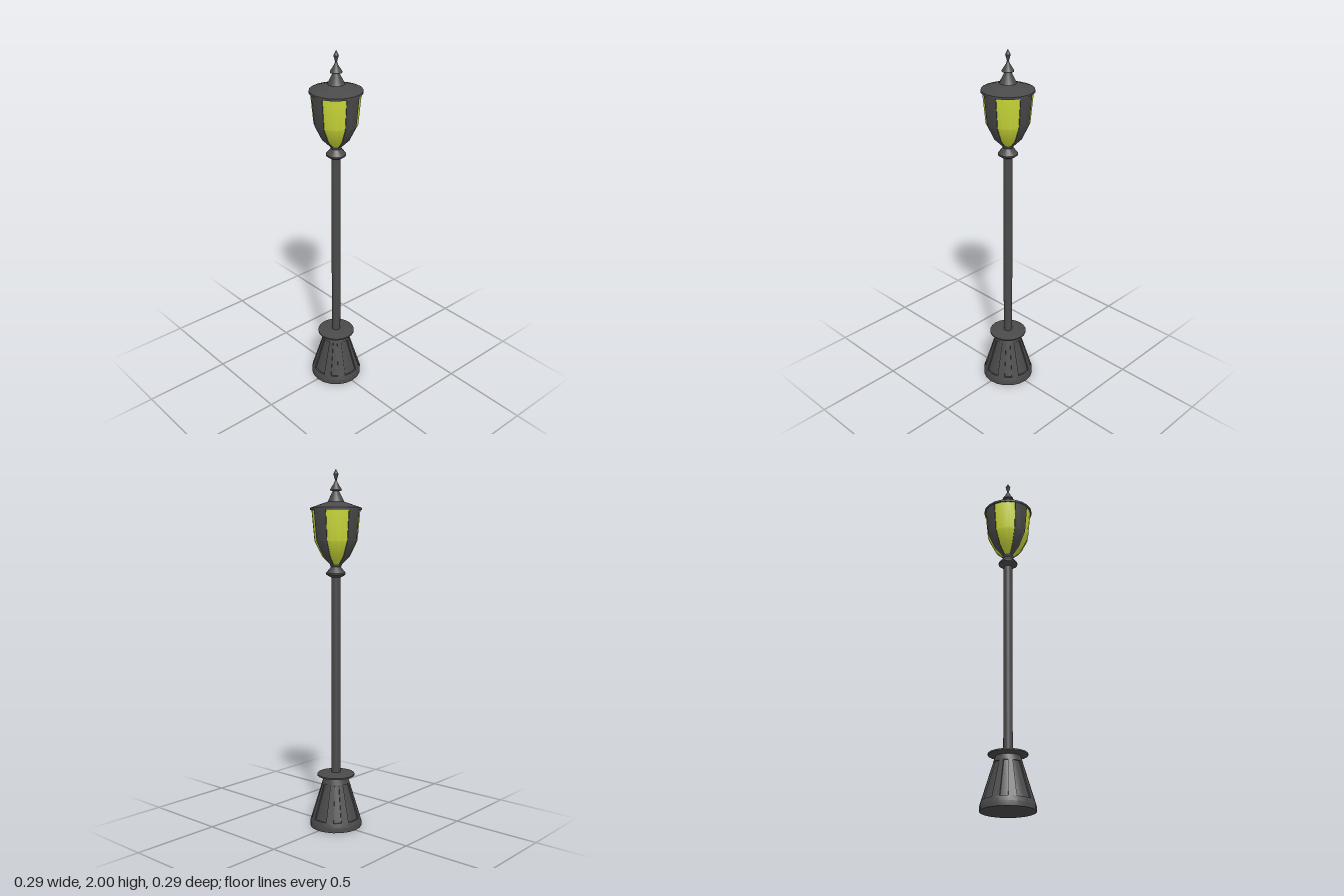
import * as THREE from 'three';
import { toCreasedNormals, mergeGeometries } from 'three/addons/utils/BufferGeometryUtils.js';

const SEGMENTS = 20;
const STEP = (Math.PI * 2) / SEGMENTS;

export function createModel() {
  const iron = new THREE.MeshStandardMaterial({ color: 0x4a4a4a, side: THREE.DoubleSide });
  iron.name = 'dark iron';
  const glass = new THREE.MeshStandardMaterial({ color: 0xcddc39, side: THREE.DoubleSide });
  glass.name = 'yellow glass';

  const model = new THREE.Group();
  model.name = 'streetLamp';

  const vectors = (profile) => profile.map(([r, y]) => new THREE.Vector2(r, y));

  function add(name, geometry, material, parent = model) {
    const mesh = new THREE.Mesh(geometry, material);
    mesh.name = name;
    parent.add(mesh);
    return mesh;
  }

  // Full turned part; profile is [radius, height] from bottom to top
  function turned(name, profile, material) {
    const lathe = new THREE.LatheGeometry(vectors(profile), SEGMENTS);
    return add(name, toCreasedNormals(lathe, 0.42), material);
  }

  // Solid strip of a turned shell, covering a number of facets
  function strip(name, outer, depth, first, count, material, parent) {
    const inner = outer.map(([r, y]) => [r - depth, y]).reverse();
    const loop = vectors([...outer, ...inner]);
    const start = first * STEP;
    const length = count * STEP;
    const pieces = [new THREE.LatheGeometry([...loop, loop[0].clone()], count, start, length)];
    for (const angle of [start, start + length]) {
      pieces.push(new THREE.ShapeGeometry(new THREE.Shape(loop)).rotateY(angle - Math.PI / 2));
    }
    const merged = mergeGeometries(pieces.map((g) => g.toNonIndexed()));
    return add(name, toCreasedNormals(merged, 0.42), material, parent);
  }

  // Pedestal: recessed core with solid bands at foot and head
  turned('pedestal', [
    [0, 0], [0.147, 0], [0.147, 0.026], [0.139, 0.052], [0.131, 0.052],
    [0.070, 0.252], [0.078, 0.252], [0.068, 0.285], [0.106, 0.294],
    [0.106, 0.302], [0.04, 0.312], [0, 0.312],
  ], iron);

  // Raised ribs between the pedestal slots
  const ribs = new THREE.Group();
  ribs.name = 'pedestalRibs';
  model.add(ribs);
  for (let quarter = 0; quarter < 4; quarter++) {
    for (const facet of [1, 3]) {
      strip('pedestalRib', [[0.139, 0.052], [0.078, 0.252]], 0.009, quarter * 5 + facet, 1, iron, ribs);
    }
  }

  // Pole and the collar carrying the lantern
  turned('pole', [[0.025, 0.3], [0.025, 1.425]], iron);
  turned('collar', [
    [0.025, 1.415], [0.040, 1.422], [0.054, 1.432], [0.054, 1.44],
    [0.028, 1.472], [0.034, 1.488], [0, 1.488],
  ], iron);

  // Lantern bowl of glass with four broad iron straps
  const bowl = [[0.032, 1.483], [0.08, 1.53], [0.122, 1.615], [0.138, 1.785]];
  turned('lanternGlass', bowl.map(([r, y]) => [r - 0.004, y]), glass);
  const straps = new THREE.Group();
  straps.name = 'lanternStraps';
  model.add(straps);
  for (let quarter = 0; quarter < 4; quarter++) {
    strip('lanternStrap', bowl, 0.008, quarter * 5 - 1, 2, iron, straps);
  }

  // Lid and spire
  turned('lid', [
    [0, 1.78], [0.141, 1.78], [0.141, 1.792], [0.046, 1.825], [0, 1.825],
  ], iron);
  turned('finial', [
    [0.046, 1.824], [0.017, 1.882], [0.032, 1.885], [0.032, 1.89],
    [0.010, 1.925], [0.005, 1.94], [0.014, 1.972], [0, 2],
  ], iron);

  return model;
}
